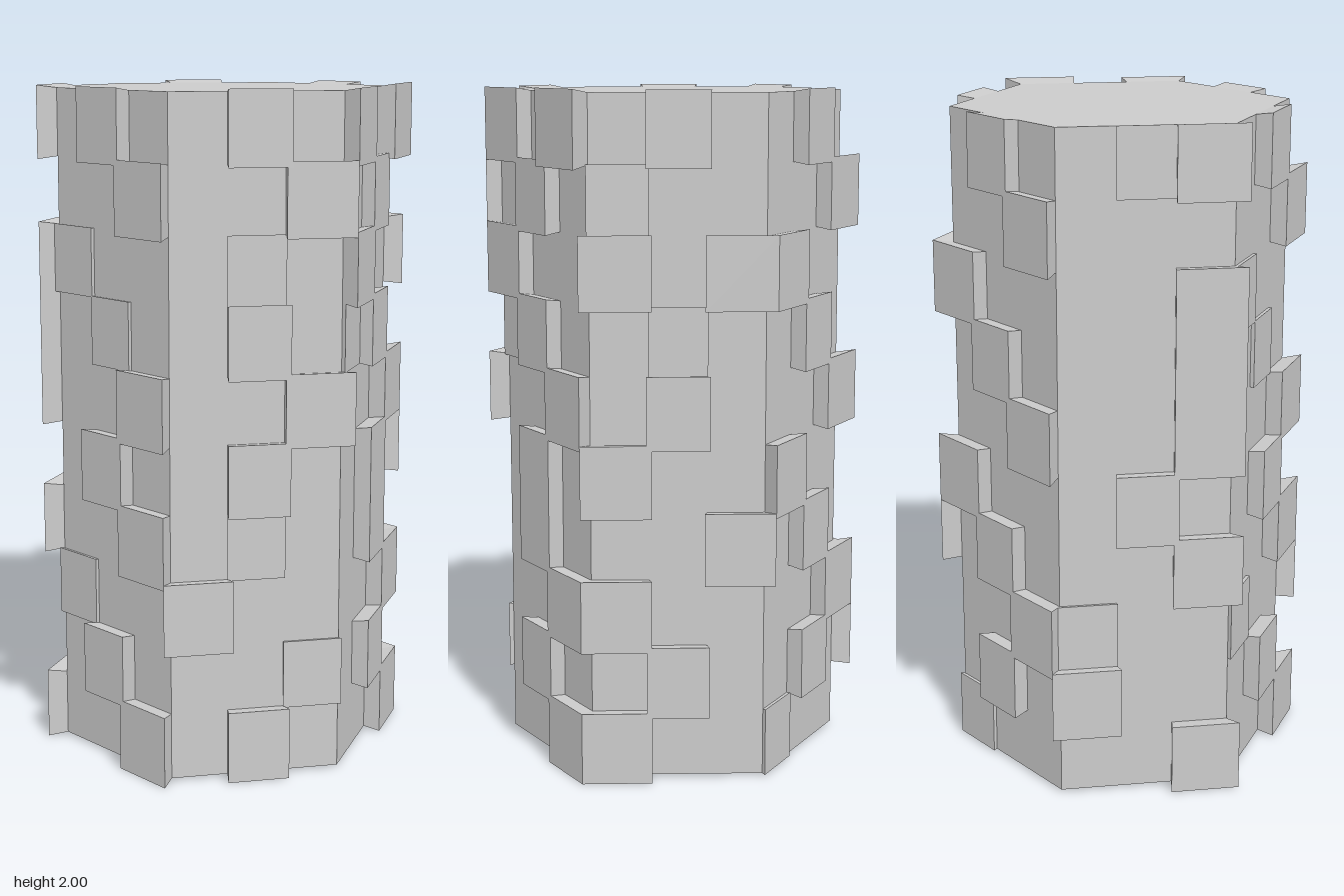
import * as THREE from 'three';

const RADIUS = 0.5, APOTHEM = RADIUS * Math.cos(Math.PI / 6);
const BASE = 0.008, HEIGHT = 1.984, ROWS = 10, COLS = 3;
const CELL_W = RADIUS / COLS, CELL_H = HEIGHT / ROWS;
const DEPTHS = [0, 0.012, 0.052, 0.07];

// One row string per course, top to bottom; each digit is a relief level.
const SIDES = {
  front:      ['020', '002', '010', '020', '002', '020', '010', '200', '001', '020'],
  frontRight: ['203', '120', '200', '120', '002', '020', '020', '002', '020', '002'],
  backRight:  ['020', '100', '202', '010', '020', '200', '002', '200', '020', '200'],
  back:       ['020', '002', '200', '020', '002', '200', '020', '002', '020', '100'],
  backLeft:   ['012', '000', '002', '002', '002', '020', '002', '100', '200', '002'],
  frontLeft:  ['020', '002', '100', '010', '002', '020', '002', '100', '020', '002'],
};

// Block that flares outward; the flare follows the mitre at the prism's corners.
function blockGeometry(col, depth) {
  const g = new THREE.BoxGeometry(CELL_W, CELL_H, depth);
  g.translate(0, 0, depth / 2);
  const p = g.attributes.position;
  const mitre = depth * Math.tan(Math.PI / 6), flare = depth * 0.15;
  for (let i = 0; i < p.count; i++) {
    if (p.getZ(i) < depth / 2) continue;
    const sx = Math.sign(p.getX(i)), sy = Math.sign(p.getY(i));
    const corner = (col === 0 && sx < 0) || (col === COLS - 1 && sx > 0);
    p.setX(i, p.getX(i) + sx * (corner ? mitre : flare));
    p.setY(i, p.getY(i) + sy * flare);
  }
  g.computeVertexNormals();
  return g;
}

export function createModel() {
  const model = new THREE.Group();
  model.name = 'hexagonalColumn';
  const material = new THREE.MeshStandardMaterial({ color: 0xcccccc, flatShading: true });

  // Hexagonal core with corners on the x axis
  const core = new THREE.Mesh(
    new THREE.CylinderGeometry(RADIUS, RADIUS, HEIGHT, 6, 1, false, Math.PI / 2), material);
  core.name = 'core';
  core.position.y = BASE + HEIGHT / 2;
  model.add(core);

  // Raised blocks on each of the six sides
  Object.entries(SIDES).forEach(([name, rows], k) => {
    const side = new THREE.Group();
    side.name = name + 'Blocks';
    side.rotation.y = k * Math.PI / 3;
    rows.forEach((row, r) => {
      [...row].forEach((level, c) => {
        const depth = DEPTHS[+level];
        if (!depth) return;
        const block = new THREE.Mesh(blockGeometry(c, depth), material);
        block.name = 'block';
        block.position.set((c - 1) * CELL_W, BASE + (ROWS - r - 0.5) * CELL_H, APOTHEM);
        side.add(block);
      });
    });
    model.add(side);
  });

  // Balance the uneven relief about the centre
  model.children.forEach((part) => { part.position.x = -0.012; });
  return model;
}
